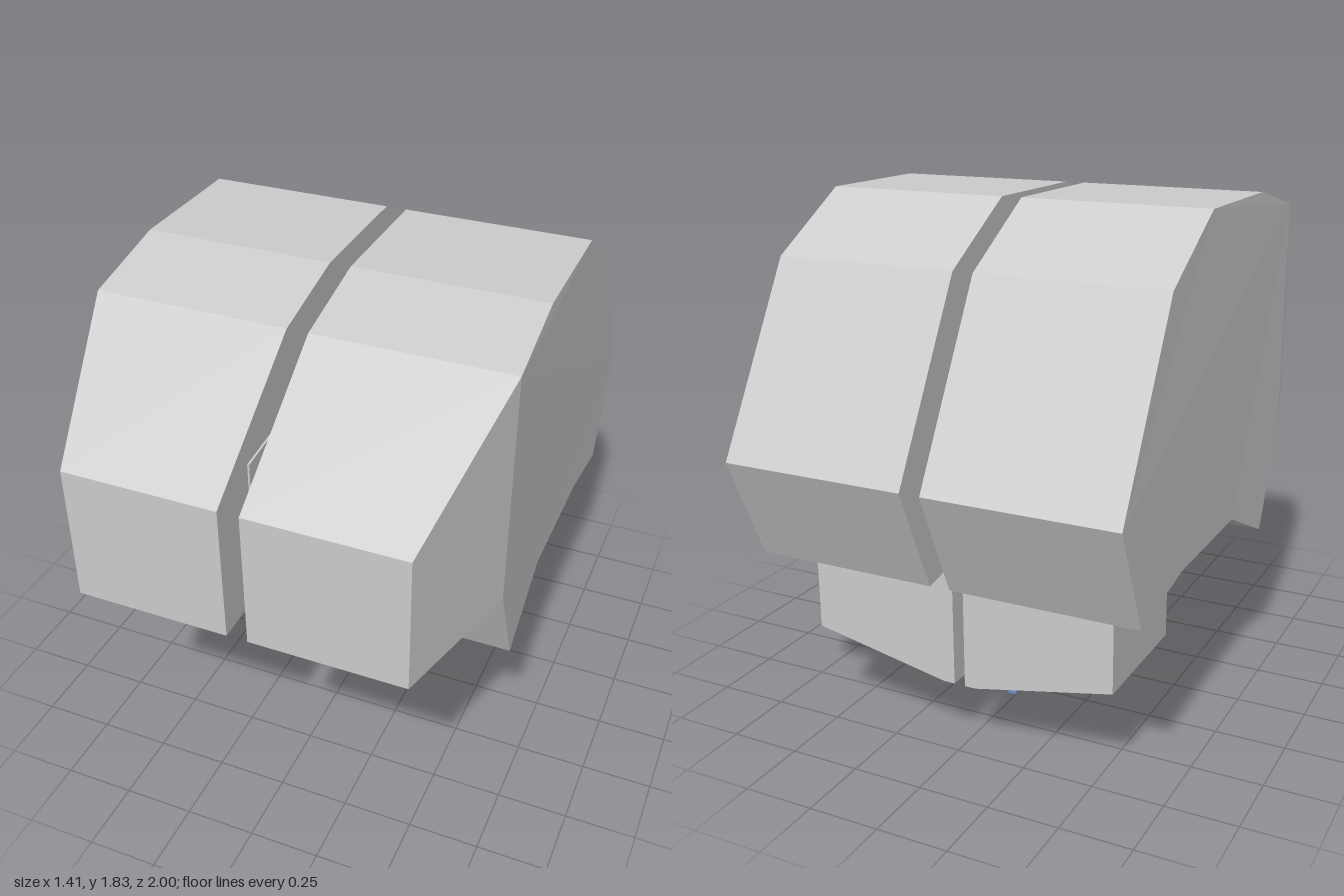
import * as THREE from 'three';

const mat = (color) => new THREE.MeshStandardMaterial({ color, flatShading: true });
const grey = mat(0xcccccc);
const pale = mat(0xd3dcda);
const pink = mat(0xd2b4cc);
const blue = mat(0x6f8fc8);

const shapeOf = (pts) => new THREE.Shape(pts.map(([a, b]) => new THREE.Vector2(a, b)));

// Side profile of [z, y] points, extruded across x from lo(z) to hi(z)
function sideSlab(profile, lo, hi) {
  const geo = new THREE.ExtrudeGeometry(shapeOf(profile.map(([z, y]) => [-z, y])), { depth: 1, bevelEnabled: false });
  geo.rotateY(Math.PI / 2);
  const p = geo.attributes.position;
  for (let i = 0; i < p.count; i++) {
    const z = p.getZ(i);
    p.setX(i, THREE.MathUtils.lerp(lo(z), hi(z), p.getX(i)));
  }
  geo.computeVertexNormals();
  return geo;
}

// Half-width of the hemispheres, narrowing toward the front
function outerX(z) {
  if (z > 0.5) return 0.705 - (z - 0.5) * 0.27;
  return z > 0 ? 0.696 + z * 0.018 : 0.696;
}

function box(x0, x1, y0, y1, z0, z1) {
  const geo = new THREE.BoxGeometry(x1 - x0, y1 - y0, z1 - z0);
  return geo.translate((x0 + x1) / 2, (y0 + y1) / 2, (z0 + z1) / 2);
}

export function createModel() {
  const model = new THREE.Group();
  const add = (name, geo, material, parent = model) => {
    const mesh = new THREE.Mesh(geo, material);
    mesh.name = name;
    parent.add(mesh);
    return mesh;
  };

  const frontal = [[1, 0.92], [1, 1.4], [0.5, 1.75], [0.5, 0.92]];
  const main = [
    [0.5, 0.92], [0.5, 1.75], [0.17, 1.825], [-0.32, 1.825], [-0.65, 1.63], [-1, 1.01],
    [-0.84, 0.64], [-0.5, 0.7], [0, 0.7], [0.33, 0.545],
  ];
  const innerFold = [[0.8, 1.25], [0.8, 1.44], [0.36, 1.48], [0.36, 1.2]];

  for (const s of [1, -1]) {
    const side = s > 0 ? 'left' : 'right';
    const between = (profile, a, b) => (s > 0 ? sideSlab(profile, a, b) : sideSlab(profile, (z) => -b(z), (z) => -a(z)));

    // Hemisphere: blunt front lobe and main body
    const hemisphere = new THREE.Group();
    hemisphere.name = side + 'Hemisphere';
    model.add(hemisphere);
    add('frontLobe', between(frontal, () => 0.036, outerX), grey, hemisphere);
    add('mainLobe', between(main, () => 0.036, outerX), grey, hemisphere);
    add('innerFold', between(innerFold, () => 0.029, () => 0.05), grey, hemisphere);

    // Cerebellum half with a sloping underside
    const half = [[0.02, 0.24], [0.06, 0.24], [0.56, 0.34], [0.56, 0.69], [0.02, 0.76]];
    const cerebellum = new THREE.ExtrudeGeometry(shapeOf(half.map(([x, y]) => [s * x, y])), { depth: 0.465, bevelEnabled: false });
    add(side + 'Cerebellum', cerebellum.translate(0, 0, -0.73), grey);
  }

  // Arched bridge joining the hemispheres
  const arch = [
    [-0.4, 1.2], [-0.4, 1.36], [0.18, 1.36], [0.43, 1.28], [0.56, 1.15],
    [0.4, 1.02], [0.36, 1.08], [0.4, 1.15], [0.3, 1.2], [0.15, 1.25], [-0.3, 1.25],
  ];
  add('bridge', sideSlab(arch, () => -0.036, () => 0.036), pale);

  // Brainstem: upper core, block, tapering neck, cord
  add('upperStem', box(-0.034, 0.034, 0.68, 0.92, -0.24, 0), grey);
  add('stemBlock', box(-0.18, 0.18, 0.45, 0.69, -0.265, 0.065), pink);
  const neck = box(-0.09, 0.09, 0.24, 0.45, -0.24, -0.065);
  const p = neck.attributes.position;
  for (let i = 0; i < p.count; i++) {
    if (p.getY(i) < 0.4) continue;
    p.setX(i, Math.sign(p.getX(i)) * 0.127);
    if (p.getZ(i) > -0.1) p.setZ(i, 0.01);
  }
  neck.computeVertexNormals();
  add('stemNeck', neck, pink);
  add('cord', box(-0.09, 0.09, 0, 0.24, -0.24, -0.065), pink);

  // Fluid channel behind the stem, widening above it
  add('channel', box(-0.018, 0.018, 0.02, 0.95, -0.355, -0.32), blue);
  add('chamber', box(-0.026, 0.026, 0.92, 1.01, -0.355, 0.1), blue);

  return model;
}
